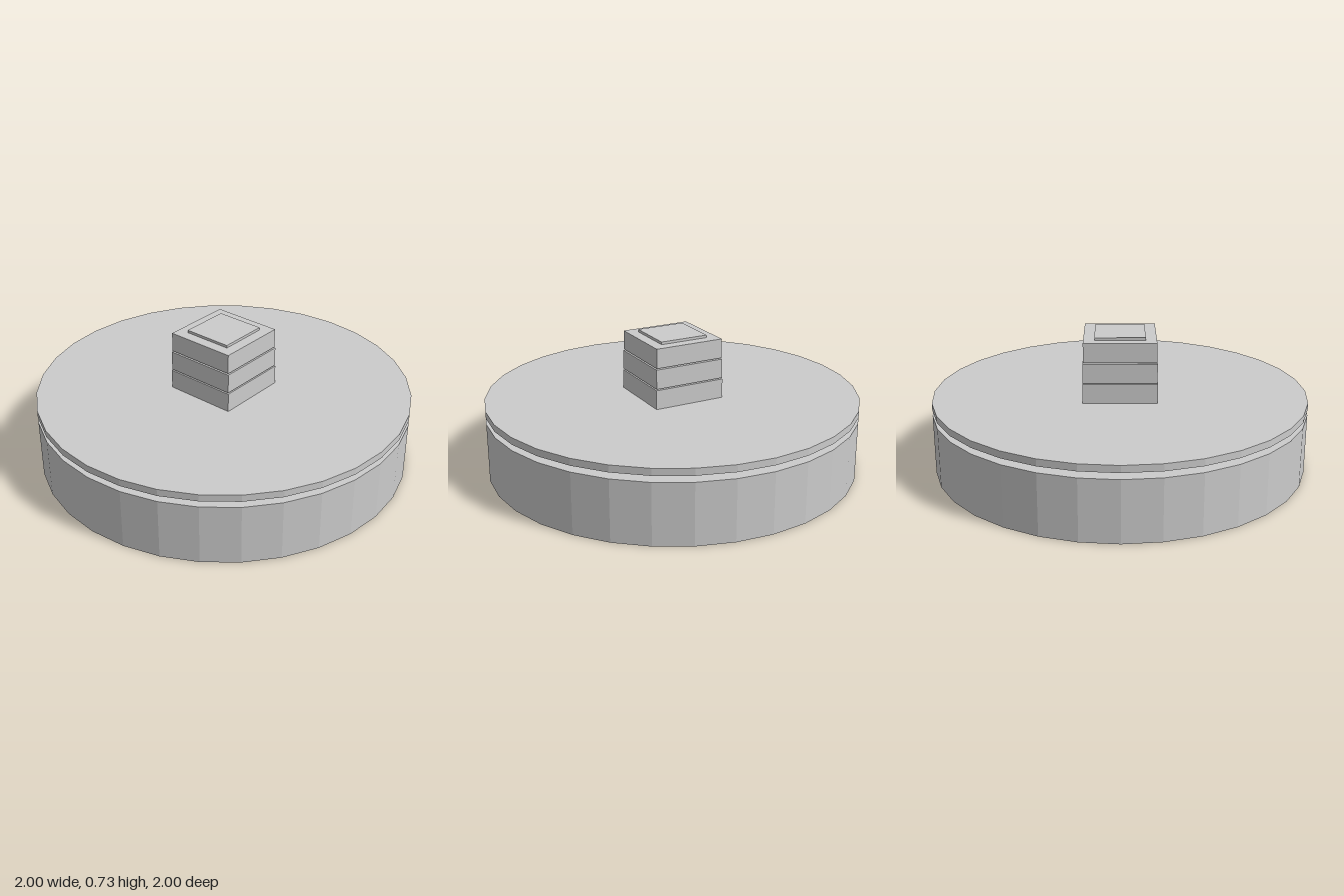
import * as THREE from 'three';

const material = new THREE.MeshStandardMaterial({ color: 0xcccccc, flatShading: true });

function addPart(group, name, geometry, bottom, top) {
  const mesh = new THREE.Mesh(geometry, material);
  mesh.name = name;
  mesh.position.y = (bottom + top) / 2;
  group.add(mesh);
}

export function createModel() {
  const model = new THREE.Group();
  model.name = 'steppedPedestal';

  // Round base and the thin plate hovering just above it: [name, bottom, top]
  const discs = [
    ['baseDisc', 0, 0.323],
    ['topPlate', 0.355, 0.392],
  ];
  for (const [name, bottom, top] of discs) {
    addPart(model, name, new THREE.CylinderGeometry(1, 1, top - bottom, 32), bottom, top);
  }

  // Square tower of slightly narrowing blocks with a small cap: [name, width, bottom, top]
  const blocks = [
    ['lowerBlock', 0.392, 0.392, 0.495],
    ['middleBlock', 0.388, 0.501, 0.605],
    ['upperBlock', 0.382, 0.611, 0.715],
    ['towerCap', 0.266, 0.715, 0.729],
  ];
  for (const [name, width, bottom, top] of blocks) {
    addPart(model, name, new THREE.BoxGeometry(width, top - bottom, width), bottom, top);
  }
  return model;
}
